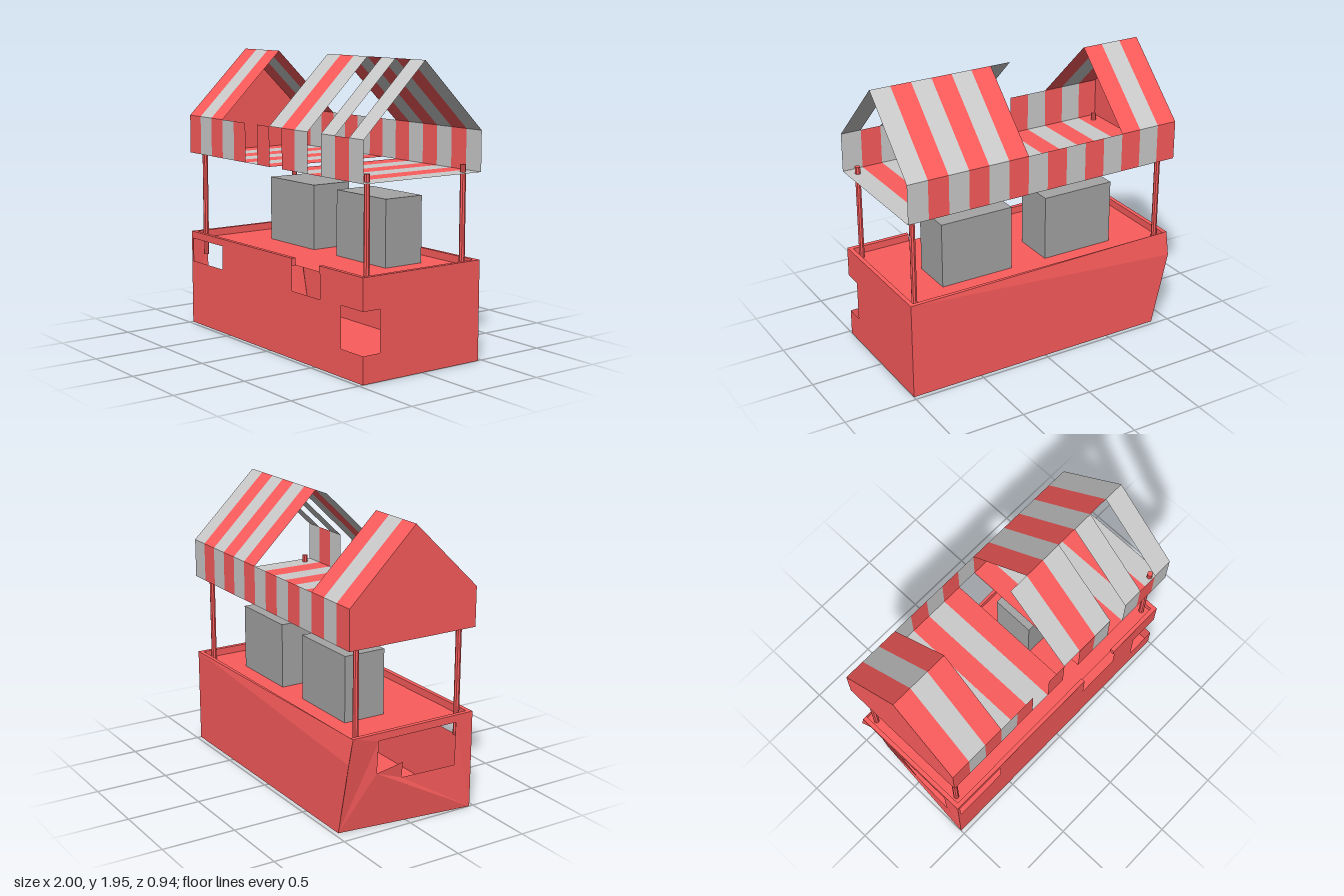
import * as THREE from 'three';

const paint = (color) => new THREE.MeshStandardMaterial({ color, side: THREE.DoubleSide, flatShading: true });
const RED = paint(0xfc5c5c), PALE = paint(0xcccccc), GREY = paint(0xa5a5a5);

const W = 1, D = 0.47, TOP = 0.665, COUNTER = 0.615, RIM = 0.03;
const EAVE = 1.495, RIDGE = 1.95, CEILING = 1.23, STRIPES = 14;

// Flat outline (u, v) with optional holes, mapped into space by a rule
function panel(name, material, outline, map, holes = []) {
  const v2 = (p) => new THREE.Vector2(p[0], p[1]);
  const shape = new THREE.Shape(outline.map(v2));
  holes.forEach((h) => shape.holes.push(new THREE.Path(h.map(v2))));
  const geo = new THREE.ShapeGeometry(shape).toNonIndexed();
  const pos = geo.attributes.position;
  for (let i = 0; i < pos.count; i++) pos.setXYZ(i, ...map(pos.getX(i), pos.getY(i)));
  geo.computeVertexNormals();
  const mesh = new THREE.Mesh(geo, material);
  mesh.name = name;
  return mesh;
}

// Convex polygon through points in space
function polygon(name, material, points) {
  const flat = [];
  for (let i = 1; i < points.length - 1; i++) flat.push(...points[0], ...points[i], ...points[i + 1]);
  const geo = new THREE.BufferGeometry();
  geo.setAttribute('position', new THREE.Float32BufferAttribute(flat, 3));
  geo.computeVertexNormals();
  const mesh = new THREE.Mesh(geo, material);
  mesh.name = name;
  return mesh;
}

const rect = (a, b, c, d) => [[a, b], [c, b], [c, d], [a, d]];

function buildStand() {
  const stand = new THREE.Group();
  stand.name = 'stand';
  const ix = W - RIM, iz = D - RIM;
  const foot = -0.883, low = 0.5; // battered back corner

  // Front wall with a cut in the rim, a broken corner and a hole
  stand.add(panel('frontWall', RED,
    [[-W, 0], [W, 0], [W, 0.18], [0.78, 0.18], [0.78, 0.455], [W, 0.455], [W, TOP], [0.55, TOP],
      [0.55, COUNTER], [0.56, COUNTER], [0.56, 0.45], [0.25, 0.45], [0.25, TOP], [-W, TOP]],
    (u, v) => [u, v, D], [rect(-0.98, 0.45, -0.59, COUNTER)]));

  // Left wall, sharing the broken corner
  stand.add(panel('leftWall', RED,
    [[-D, 0], [D, 0], [D, 0.18], [0.34, 0.18], [0.34, 0.455], [D, 0.455], [D, TOP], [-D, TOP]],
    (u, v) => [W, v, u]));

  // Right wall, twisted inward at the foot of its back edge, with a stepped hole
  stand.add(panel('rightWall', RED,
    [[-D, 0], [D, 0], [D, TOP], [-iz, TOP], [-D, low]],
    (u, v) => [-W + (W + foot) * Math.max(0, 1 - v / low) * (D - u) / (2 * D), v, u],
    [[[-0.25, 0.39], [-0.06, 0.43], [-0.06, 0.32], [0.34, 0.32], [0.34, COUNTER], [-0.25, COUNTER]]]));

  // Back wall, the sloping dent above it, and the floor
  stand.add(polygon('backWall', RED, [[W, 0, -D], [foot, 0, -D], [-W, low, -D], [W, TOP, -D]]));
  stand.add(polygon('backDent', RED, [[W, TOP, -D], [-W, low, -D], [-W, TOP, -iz]]));
  stand.add(polygon('floor', RED, [[foot, 0, -D], [W, 0, -D], [W, 0, D], [-W, 0, D]]));

  // Counter and raised rim
  stand.add(polygon('counter', RED, [[-ix, COUNTER, iz], [ix, COUNTER, iz], [ix, COUNTER, -iz], [-ix, COUNTER, -iz]]));
  const flat = (a, b, c, d) => [[a, TOP, b], [a, TOP, d], [c, TOP, d], [c, TOP, b]];
  stand.add(polygon('rightRim', RED, flat(-W, -iz, -ix, D)));
  stand.add(polygon('leftRim', RED, flat(ix, -iz, W, D)));
  stand.add(polygon('backRim', RED, [[-W, TOP, -iz], [W, TOP, -iz], [W, TOP, -D]]));
  const lip = (name, x0, z0, x1, z1) => stand.add(polygon(name, RED,
    [[x0, COUNTER, z0], [x1, COUNTER, z1], [x1, TOP, z1], [x0, TOP, z0]]));
  for (const [a, b] of [[-ix, 0.25], [0.55, ix]]) {
    stand.add(polygon('frontRim', RED, flat(a, iz, b, D)));
    lip('frontLip', a, iz, b, iz);
  }
  lip('backLip', -ix, -iz, ix, -iz);
  for (const s of [-1, 1]) lip('sideLip', s * ix, -iz, s * ix, iz);
  for (const x of [0.25, 0.55]) lip('cutEdge', x, iz, x, D);
  return stand;
}

function buildCanopy() {
  const canopy = new THREE.Group();
  canopy.name = 'canopy';
  // Stripe numbers that are torn away, counted from the model's right
  const torn = {
    frontSlope: [3, 4, 5, 6, 10, 12],
    backSlope: [3, 4, 5, 6, 7],
    frontValance: [5, 7, 10],
    backValance: [],
    ceiling: [7],
  };
  // Each surface runs between two (y, z) edges
  const edges = {
    frontSlope: [[EAVE, D], [RIDGE, 0]],
    backSlope: [[RIDGE, 0], [EAVE, -D]],
    frontValance: [[CEILING, D], [EAVE, D]],
    backValance: [[EAVE, -D], [CEILING, -D]],
    ceiling: [[CEILING, -D], [CEILING, D]],
  };
  for (const [name, [a, b]] of Object.entries(edges)) {
    for (let i = 0; i < STRIPES; i++) {
      if (torn[name].includes(i)) continue;
      const x0 = -W + (2 * W * i) / STRIPES, x1 = x0 + (2 * W) / STRIPES;
      canopy.add(polygon(name + 'Stripe', i % 2 ? PALE : RED, [[x0, ...a], [x1, ...a], [x1, ...b], [x0, ...b]]));
    }
  }
  // Only the right end is closed
  canopy.add(polygon('rightGable', RED,
    [[-W, CEILING, -D], [-W, CEILING, D], [-W, EAVE, D], [-W, RIDGE, 0], [-W, EAVE, -D]]));
  return canopy;
}

export function createModel() {
  const model = new THREE.Group();
  model.name = 'marketStall';
  model.add(buildStand(), buildCanopy());

  // Posts
  const postGeo = new THREE.CylinderGeometry(0.019, 0.019, 0.78, 8);
  for (const x of [-0.935, 0.93]) {
    for (const z of [-0.38, 0.39]) {
      const post = new THREE.Mesh(postGeo, RED);
      post.name = 'post';
      post.position.set(x, 0.89, z);
      model.add(post);
    }
  }

  // Crates on the counter
  for (const x of [-0.375, 0.405]) {
    const crate = new THREE.Mesh(new THREE.BoxGeometry(0.52, 0.445, 0.297), GREY);
    crate.name = 'crate';
    crate.position.set(x, COUNTER + 0.2225, -0.117);
    model.add(crate);
  }
  return model;
}
